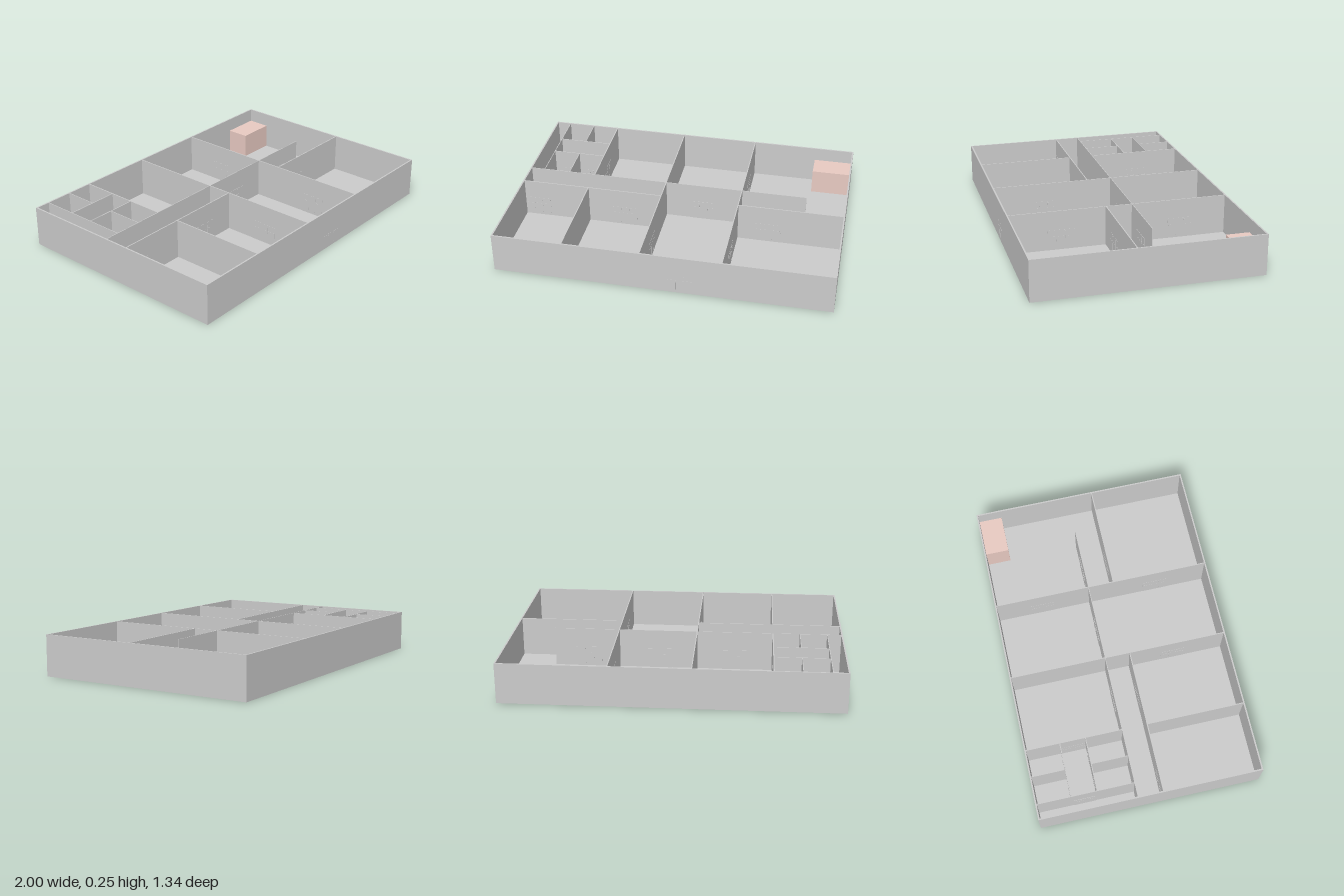
import * as THREE from 'three';

const W = 2, D = 1.34, H = 0.245, FLOOR = 0.005;

export function createModel() {
  const model = new THREE.Group();
  const grey = new THREE.MeshStandardMaterial({ color: 0xcccccc, flatShading: true });
  const pink = new THREE.MeshStandardMaterial({ color: 0xe8cac2, flatShading: true });

  // Box given by its lower and upper corners
  function block(name, x0, x1, y0, y1, z0, z1, parent = model, mat = grey) {
    const mesh = new THREE.Mesh(new THREE.BoxGeometry(x1 - x0, y1 - y0, z1 - z0), mat);
    mesh.position.set((x0 + x1) / 2, (y0 + y1) / 2, (z0 + z1) / 2);
    mesh.name = name;
    parent.add(mesh);
  }
  const wallX = (z, x0, x1, t = 0.006) => block('partitionWall', x0, x1, FLOOR, H, z - t / 2, z + t / 2);
  const wallZ = (x, z0, z1, t = 0.006) => block('partitionWall', x - t / 2, x + t / 2, FLOOR, H, z0, z1);

  // Floor slab and outer walls
  const hx = W / 2, hz = D / 2, t = 0.009;
  block('floor', -hx, hx, 0, FLOOR, -hz, hz);
  block('backWall', -hx, hx, FLOOR, H, -hz, -hz + t);
  block('frontWall', -hx, hx, FLOOR, H, hz - t, hz);
  block('rightWall', -hx, -hx + t, FLOOR, H, -hz + t, hz - t);
  block('leftWall', hx - t, hx, FLOOR, H, -hz + t, hz - t);

  // Corridor walls
  const zi = hz - t, xi = hx - t;
  wallX(-0.08, -xi, 0.755, 0.004);
  wallX(0.072, -xi, -0.12);
  wallX(0.078, 0.357, xi);

  // Cross walls between the rooms
  wallZ(-0.58, -zi, -0.08);
  wallZ(-0.58, 0.072, zi);
  wallZ(-0.12, -zi, zi);
  wallZ(0.357, -zi, zi);

  // Small cubicles around a lobby
  wallZ(-0.907, -zi, -0.08, 0.004);
  wallX(-0.458, -0.907, -0.58, 0.005);
  wallX(-0.303, -0.907, -0.58, 0.005);
  wallZ(-0.743, -zi, -0.458, 0.004);
  wallZ(-0.743, -0.303, -0.08, 0.004);

  // Double door: proud panel with raised cross bars on both faces
  function door(x, z, turned = false, w = 0.16, depth = 0.008) {
    const g = new THREE.Group();
    g.name = 'door';
    const h = 0.128, d = depth / 2, b = d + 0.001;
    block('doorPanel', -w / 2, w / 2, 0.001, h, -d, d, g);
    for (const s of [-1, 1]) {
      const c = s * w * 0.16;
      block('doorUpright', c - 0.002, c + 0.002, 0.02, 0.118, -b, b, g);
      const m = s * w * 0.25;
      block('doorRail', m - w * 0.19, m + w * 0.19, 0.083, 0.088, -b, b, g);
    }
    g.position.set(x, 0, z);
    if (turned) g.rotation.y = Math.PI / 2;
    model.add(g);
  }
  for (const x of [-0.35, 0.115, 0.545]) door(x, -0.08);
  for (const x of [-0.91, -0.35]) door(x, 0.072);
  door(0.545, 0.078);
  door(0.115, hz - 0.004);
  door(0.357, -0.38, true);
  door(0.357, 0.35, true);
  door(-0.12, 0.35, true);
  door(-0.58, -0.38, true);
  door(-0.907, -0.38, true, 0.13);
  for (const z of [-0.458, -0.303]) for (const x of [-0.83, -0.665]) door(x, z, false, 0.065);

  // Coloured cabinet in the back corner
  block('cornerCabinet', 0.755, xi, FLOOR, 0.16, -zi, -0.518, model, pink);

  return model;
}
